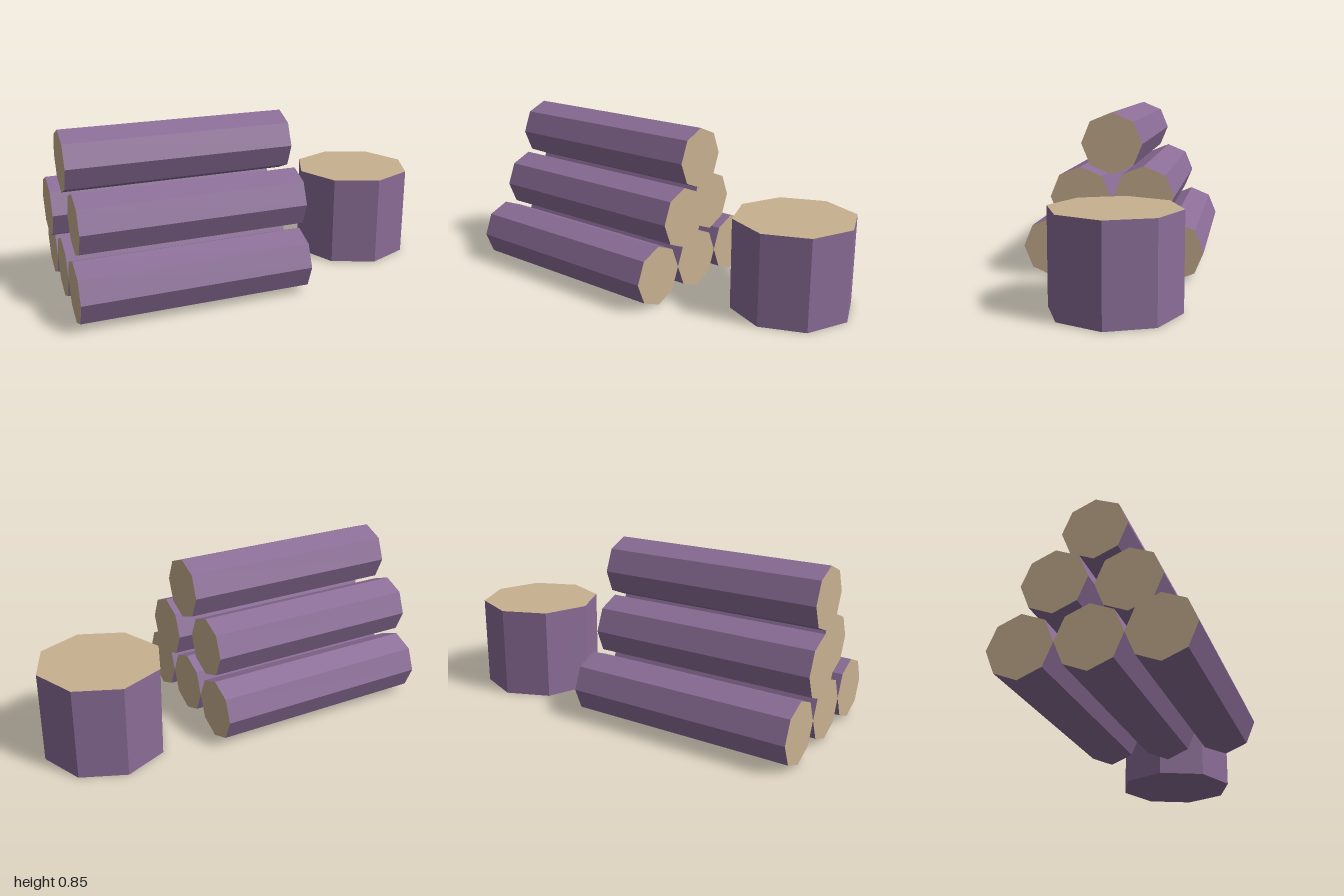
import * as THREE from 'three';

export function createModel() {
  const model = new THREE.Group();
  model.name = 'woodpile';

  const bark = new THREE.MeshStandardMaterial({ color: 0x8b6d97, flatShading: true });
  bark.name = 'purple bark';
  const cutWood = new THREE.MeshStandardMaterial({ color: 0xc8b090, flatShading: true });
  cutWood.name = 'cut wood';

  // Stacked logs: eight-sided, lying along x, with cut wood on both ends
  const R = 0.155, LENGTH = 1.14, ROW_STEP = 0.271;
  const logGeometry = new THREE.CylinderGeometry(R, R, LENGTH, 8).rotateZ(-Math.PI / 2);
  // Centre x of each log per row, ordered from back to front
  const rows = [[-0.4, -0.4, -0.4], [-0.43, -0.36], [-0.38]];
  const stack = new THREE.Group();
  stack.name = 'logStack';
  rows.forEach((row, r) => row.forEach((x, i) => {
    const log = new THREE.Mesh(logGeometry, [bark, cutWood, cutWood]);
    log.name = `logRow${r + 1}Number${i + 1}`;
    log.position.set(x, R + r * ROW_STEP, (i - (row.length - 1) / 2) * 2 * R);
    stack.add(log);
  }));
  model.add(stack);

  // Upright chopping block: cut top, bark sides and underside
  const HEIGHT = 0.467;
  const block = new THREE.Mesh(
    new THREE.CylinderGeometry(0.31, 0.31, HEIGHT, 8), [bark, cutWood, bark]);
  block.name = 'choppingBlock';
  block.position.set(0.686, HEIGHT / 2, -0.105);
  model.add(block);

  return model;
}
